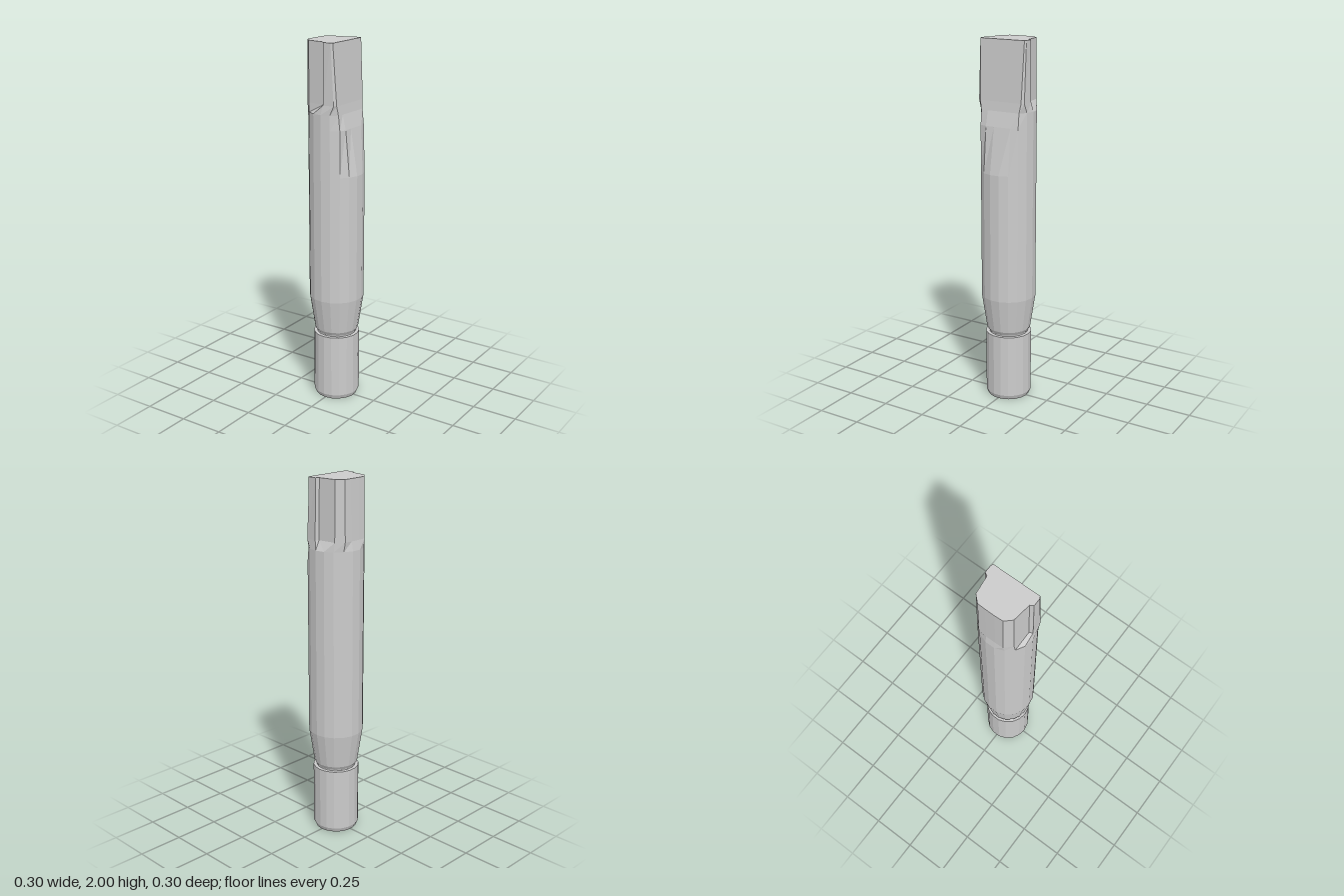
import * as THREE from 'three';

const SIDES = 18;

// Half outline (z > 0, from +x to -x) of the round shank, cut off flat at x = limit
function roundHalf(radius, limit = 1) {
  return Array.from({ length: SIDES / 2 }, (_, i) => {
    const a = THREE.MathUtils.degToRad(10 + 20 * i);
    return [Math.min(radius * Math.cos(a), limit), radius * Math.sin(a)];
  });
}

// Half outline of the stepped tang with its flat at x = flat
function tangHalf(flat, grow = 0) {
  return [
    [flat, 0.04], [flat, 0.09], [flat, 0.132 - grow], [flat - 0.01, 0.138],
    [0.01, 0.138 + grow / 2], [0, 0.12 + grow / 2], [-0.1, 0.107 + grow / 2],
    [-0.133 - grow / 2, 0.072], [-0.135 - grow / 2, 0.026],
  ];
}

// Skin over mirrored half outlines stacked in y, closed at the top
function loft(levels) {
  const pos = [], index = [];
  for (const [y, half] of levels) {
    for (const [x, z] of half) pos.push(x, y, z);
    for (const [x, z] of [...half].reverse()) pos.push(x, y, -z);
  }
  for (let j = 0; j < levels.length - 1; j++) {
    for (let i = 0; i < SIDES; i++) {
      const a = j * SIDES + i, n = j * SIDES + (i + 1) % SIDES;
      index.push(a, a + SIDES, n, n, a + SIDES, n + SIDES);
    }
  }
  const last = (levels.length - 1) * SIDES, centre = pos.length / 3;
  pos.push(-0.02, levels[levels.length - 1][0], 0);
  for (let i = 0; i < SIDES; i++) index.push(centre, last + (i + 1) % SIDES, last + i);
  const g = new THREE.BufferGeometry();
  g.setAttribute('position', new THREE.Float32BufferAttribute(pos, 3));
  g.setIndex(index);
  g.computeVertexNormals();
  return g;
}

export function createModel() {
  const group = new THREE.Group();
  const material = new THREE.MeshStandardMaterial({ color: 0xcccccc, flatShading: true });
  const add = (name, geometry) => {
    const mesh = new THREE.Mesh(geometry, material);
    mesh.name = name;
    group.add(mesh);
  };

  // Collar with bored underside, chamfered rim and narrow neck groove
  const profile = [
    [0, 0.3], [0.06, 0.3], [0.06, 0], [0.116, 0], [0.127, 0.025],
    [0.127, 0.378], [0.108, 0.378], [0.108, 0.388],
  ].map(([r, y]) => new THREE.Vector2(r, y));
  add('collar', new THREE.LatheGeometry(profile, SIDES));

  // Shank flares out, is cut away on the +x side, then steps into the tang
  add('shankAndTang', loft([
    [0.384, roundHalf(0.108)],
    [0.405, roundHalf(0.121)],
    [0.595, roundHalf(0.15)],
    [1.3, roundHalf(0.15)],
    [1.55, roundHalf(0.15, 0.107)],
    [1.63, roundHalf(0.15, 0.088)],
    [1.68, tangHalf(0.083, 0.008)],
    [2, tangHalf(0.065)],
  ]));

  return group;
}
